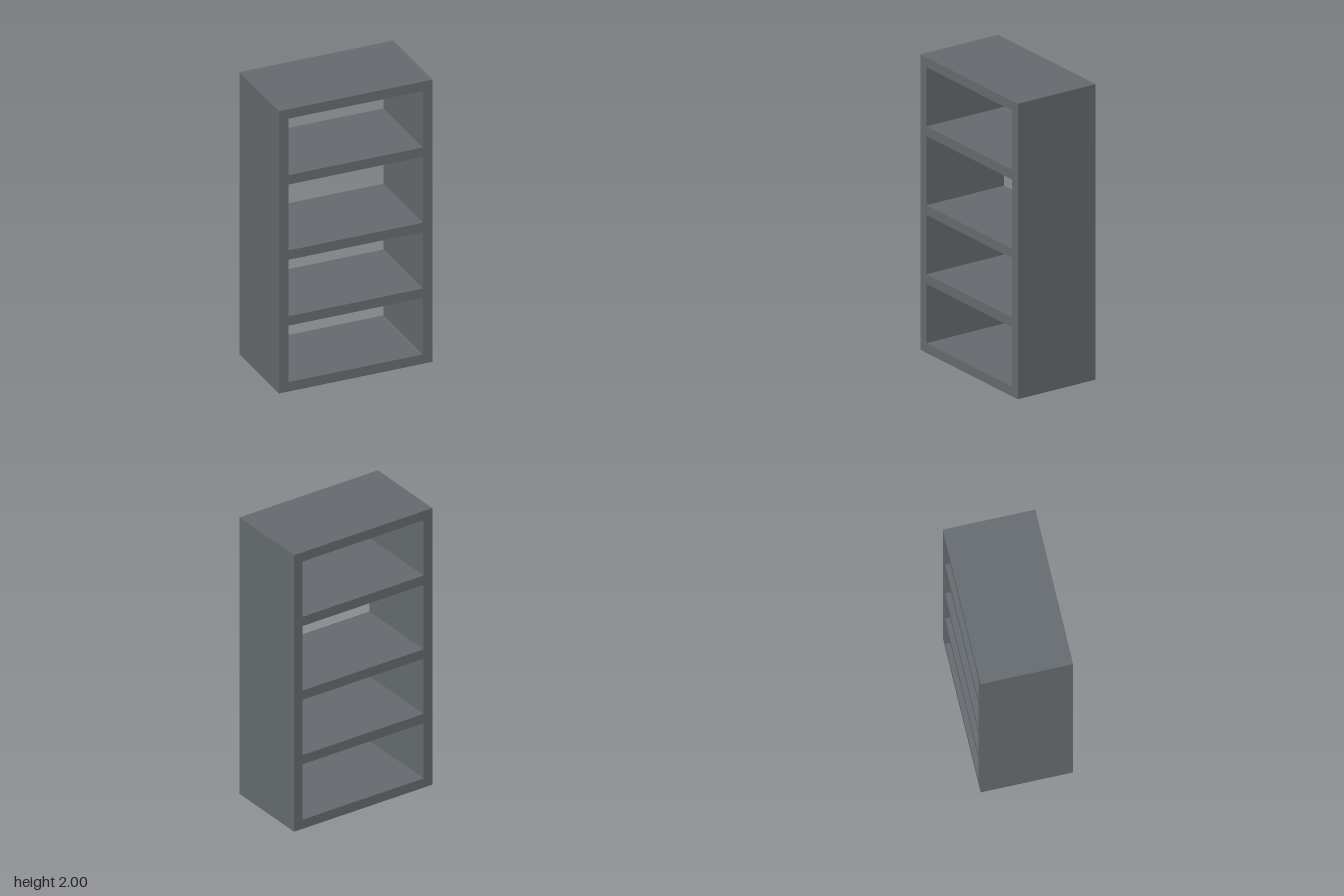
import * as THREE from 'three';

const U = 1 / 15; // board thickness, the basic unit
const WIDTH = 16 * U;
const HEIGHT = 30 * U;
const DEPTH = 9 * U;

// Box standing on y = 0; an open one has no underside
function boardGeometry(w, h, d, open) {
  const geometry = new THREE.BoxGeometry(w, h, d);
  geometry.translate(0, h / 2, 0);
  if (open) {
    const index = Array.from(geometry.index.array);
    index.splice(18, 6); // the downward face
    geometry.setIndex(index);
    geometry.clearGroups();
  }
  return geometry;
}

export function createModel() {
  const group = new THREE.Group();
  group.name = 'shelfUnit';
  const grey = new THREE.MeshStandardMaterial({ color: 0x666b6f, side: THREE.DoubleSide });
  grey.name = 'slateGrey';

  const add = (name, geometry, x, y) => {
    const mesh = new THREE.Mesh(geometry, grey);
    mesh.name = name;
    mesh.position.set(x, y, 0);
    group.add(mesh);
  };

  // Hollow side walls, open at the floor
  for (const [name, side] of [['leftWall', 1], ['rightWall', -1]]) {
    add(name, boardGeometry(U, HEIGHT, DEPTH, true), side * (WIDTH - U) / 2, 0);
  }

  // Boards between the walls; the lowest is hollow underneath
  const boards = [['bottomBoard', 0], ['lowerShelf', 7], ['middleShelf', 14], ['upperShelf', 22], ['topBoard', 29]];
  for (const [name, level] of boards) {
    add(name, boardGeometry(WIDTH - 2 * U, U, DEPTH, level === 0), 0, level * U);
  }

  return group;
}
